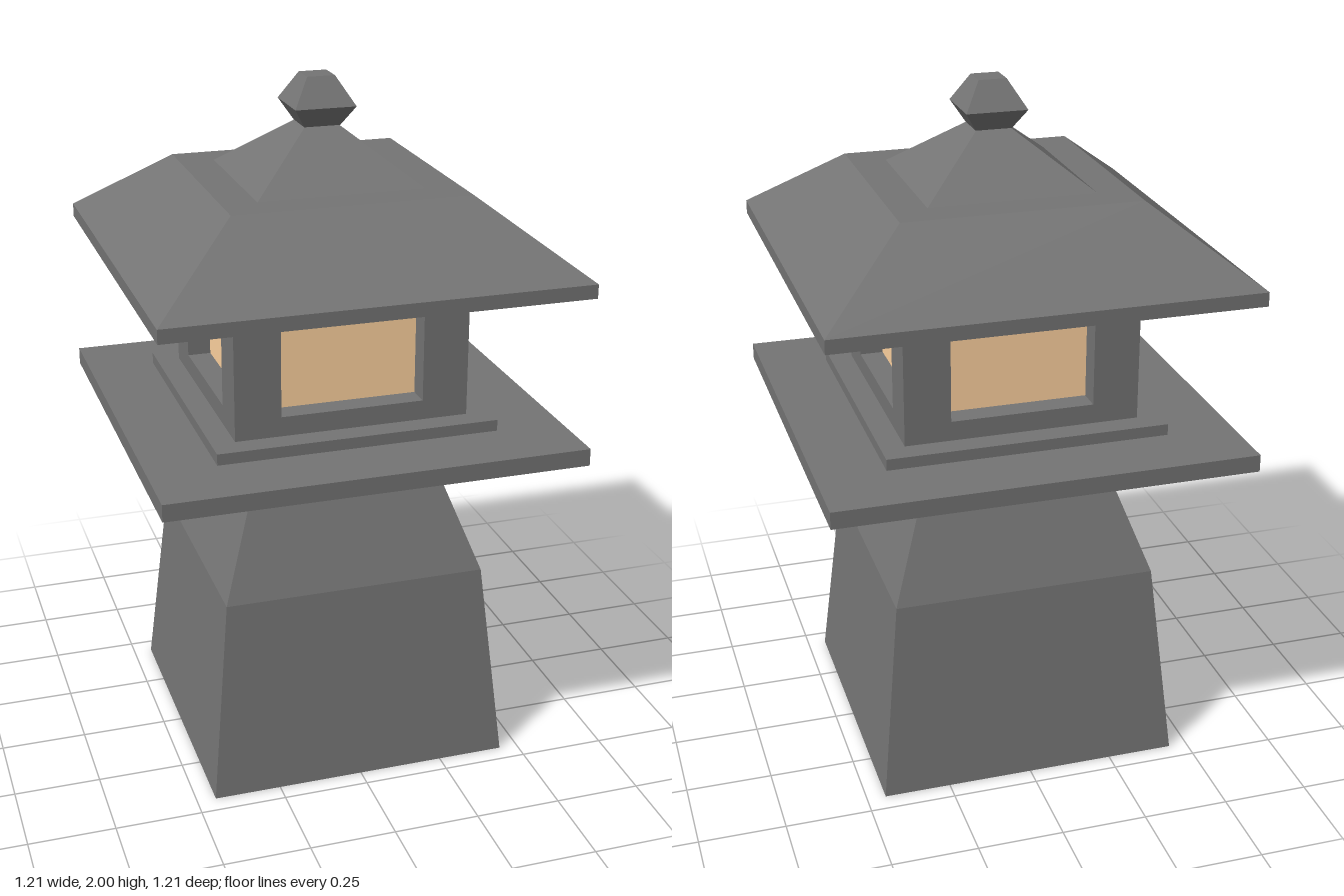
import * as THREE from 'three';

const stone = new THREE.MeshStandardMaterial({ color: 0x747474, flatShading: true });
const paper = new THREE.MeshStandardMaterial({ color: 0xffd3a0, flatShading: true });

export function createModel() {
  const model = new THREE.Group();
  model.name = 'stoneLantern';

  // Square block tapering from half width a at y0 to half width b at y1
  function block(parent, name, a, y0, b, y1, openTop = false, material = stone) {
    const geo = new THREE.CylinderGeometry(b * Math.SQRT2, a * Math.SQRT2, y1 - y0, 4, 1);
    geo.rotateY(Math.PI / 4);
    const mesh = new THREE.Mesh(geo, material);
    mesh.name = name;
    mesh.position.y = (y0 + y1) / 2;
    parent.add(mesh);
    return mesh;
  }

  // Stack of blocks sharing one profile of [half width, height]
  function stack(name, profile) {
    const group = new THREE.Group();
    group.name = name;
    for (let i = 0; i < profile.length - 1; i++) {
      block(group, `${name}Section${i + 1}`, ...profile[i], ...profile[i + 1]);
    }
    model.add(group);
  }

  // Pedestal and platform
  stack('pedestal', [[0.445, 0], [0.385, 0.59], [0.24, 0.99]]);
  block(model, 'platform', 0.605, 0.99, 0.605, 1.04);
  block(model, 'platformStep', 0.408, 1.04, 0.408, 1.073);

  // Light chamber: sill, lintel and corner posts around the recessed panes
  const chamber = new THREE.Group();
  chamber.name = 'lightChamber';
  model.add(chamber);
  const half = 0.34, opening = 0.207, sillTop = 1.13, lintelBottom = 1.43;
  block(chamber, 'sill', half, 1.073, half, sillTop);
  block(chamber, 'lintel', half, lintelBottom, half, 1.477);
  const postWidth = half - opening;
  for (const sx of [-1, 1]) {
    for (const sz of [-1, 1]) {
      const post = block(chamber, 'cornerPost', postWidth / 2, sillTop, postWidth / 2, lintelBottom);
      post.position.x = sx * (half + opening) / 2;
      post.position.z = sz * (half + opening) / 2;
    }
  }
  for (let i = 0; i < 4; i++) {
    const pane = new THREE.Mesh(
      new THREE.BoxGeometry(2 * opening, lintelBottom - sillTop, 0.02), paper);
    pane.name = 'windowPane';
    const angle = i * Math.PI / 2;
    pane.position.set(Math.sin(angle) * 0.262, (sillTop + lintelBottom) / 2, Math.cos(angle) * 0.262);
    pane.rotation.y = angle;
    chamber.add(pane);
  }

  // Roof with eave, upper cap and finial
  stack('roof', [[0.6, 1.477], [0.6, 1.517], [0.34, 1.715]]);
  block(model, 'roofCap', 0.24, 1.715, 0.05, 1.863);
  stack('finial', [[0.052, 1.863], [0.088, 1.92], [0.04, 2]]);

  return model;
}
